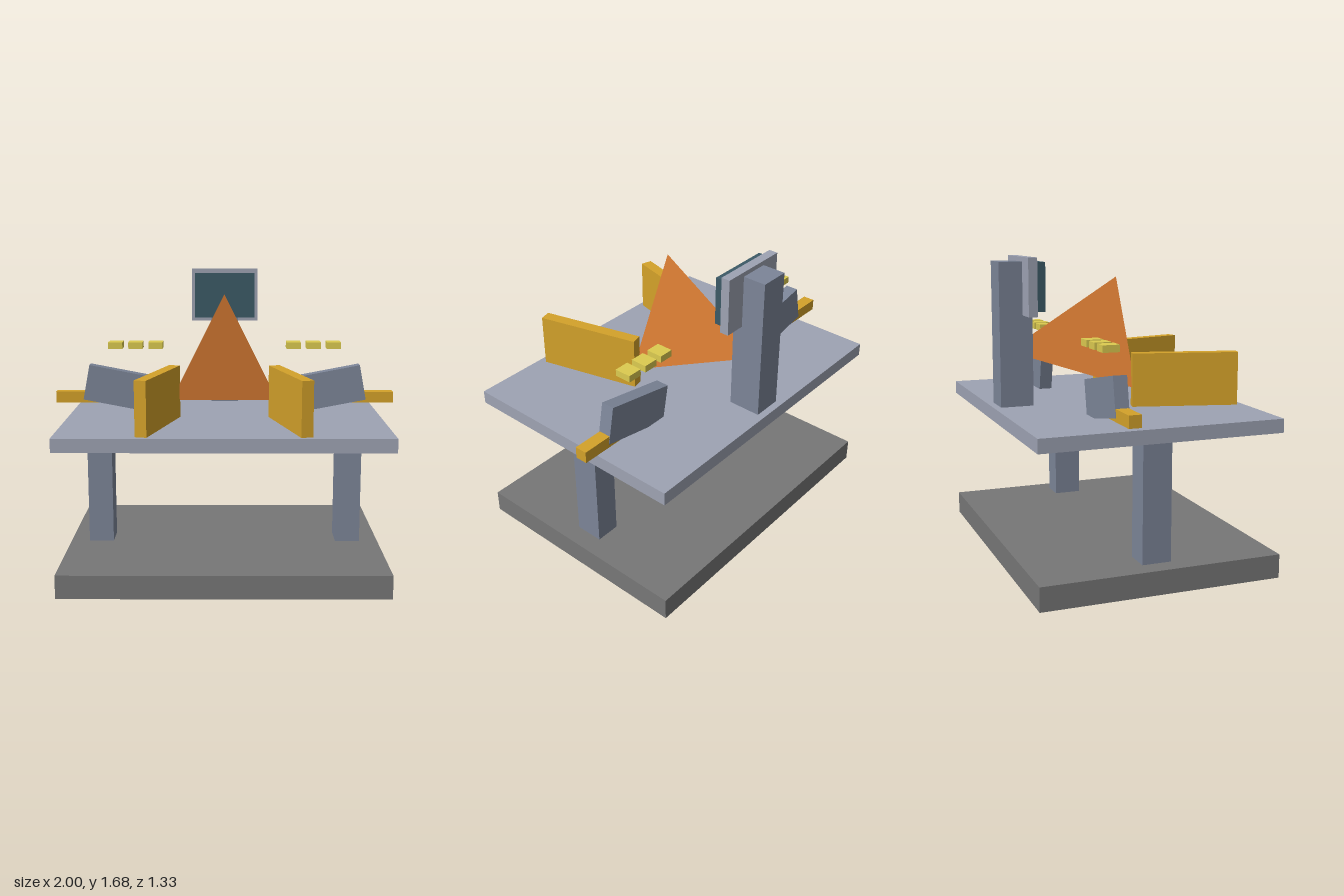
import * as THREE from 'three';

const COLORS = {
  base: 0x777777, steel: 0x7c8598, table: 0x9ea3b3, screen: 0x3c5a66,
  amber: 0xd4a22a, pale: 0xdccb50, orange: 0xcc7530,
};

export function createModel() {
  const group = new THREE.Group();
  const mats = {};
  for (const [key, color] of Object.entries(COLORS)) {
    mats[key] = new THREE.MeshStandardMaterial({ color, flatShading: true });
  }

  function add(name, geometry, mat, position) {
    const mesh = new THREE.Mesh(geometry, mats[mat]);
    mesh.name = name;
    mesh.position.set(...position);
    group.add(mesh);
    return mesh;
  }

  // Box given by its size and centre
  const box = (name, mat, size, centre) => add(name, new THREE.BoxGeometry(...size), mat, centre);

  // Floor slab and table top
  box('base', 'base', [1.78, 0.13, 1.33], [0, 0.065, 0]);
  box('tableTop', 'table', [1.78, 0.075, 1.33], [0, 0.8275, 0]);

  // Rear column with the display
  box('column', 'steel', [0.165, 0.79, 0.185], [0, 1.26, -0.5325]);
  box('displayFrame', 'table', [0.4, 0.315, 0.05], [0, 1.5225, -0.47]);
  box('displayScreen', 'screen', [0.36, 0.265, 0.05], [0, 1.5225, -0.42]);

  // Three-sided funnel, tip buried in the column
  const funnel = new THREE.ConeGeometry(0.397, 0.64, 3, 1);
  funnel.rotateX(-Math.PI / 2).scale(0.873, 1, 1);
  add('funnel', funnel, 'orange', [0, 1.163, -0.24]);

  // Mirrored parts
  for (const s of [1, -1]) {
    const side = s > 0 ? 'left' : 'right';
    box(side + 'Leg', 'steel', [0.14, 0.66, 0.16], [s * 0.715, 0.46, 0]);

    // Guide panel, splayed outward to the front
    const panel = box(side + 'GuidePanel', 'amber', [0.064, 0.295, 0.587], [s * 0.355, 1.0125, 0.3475]);
    panel.rotation.y = s * 0.252;

    // Tilted arm sinking into the table, with a handle
    const arm = box(side + 'Arm', 'steel', [0.42, 0.21, 0.075], [s * 0.612, 0.985, -0.213]);
    arm.rotation.z = s * 0.19;
    box(side + 'Handle', 'amber', [0.28, 0.065, 0.068], [s * 0.86, 0.935, -0.214]);

    // Row of floating marker blocks
    for (let i = 0; i < 3; i++) {
      box(side + 'Marker' + (i + 1), 'pale', [0.083, 0.038, 0.093], [s * (0.406 + i * 0.118), 1.244, -0.213]);
    }
  }
  return group;
}
